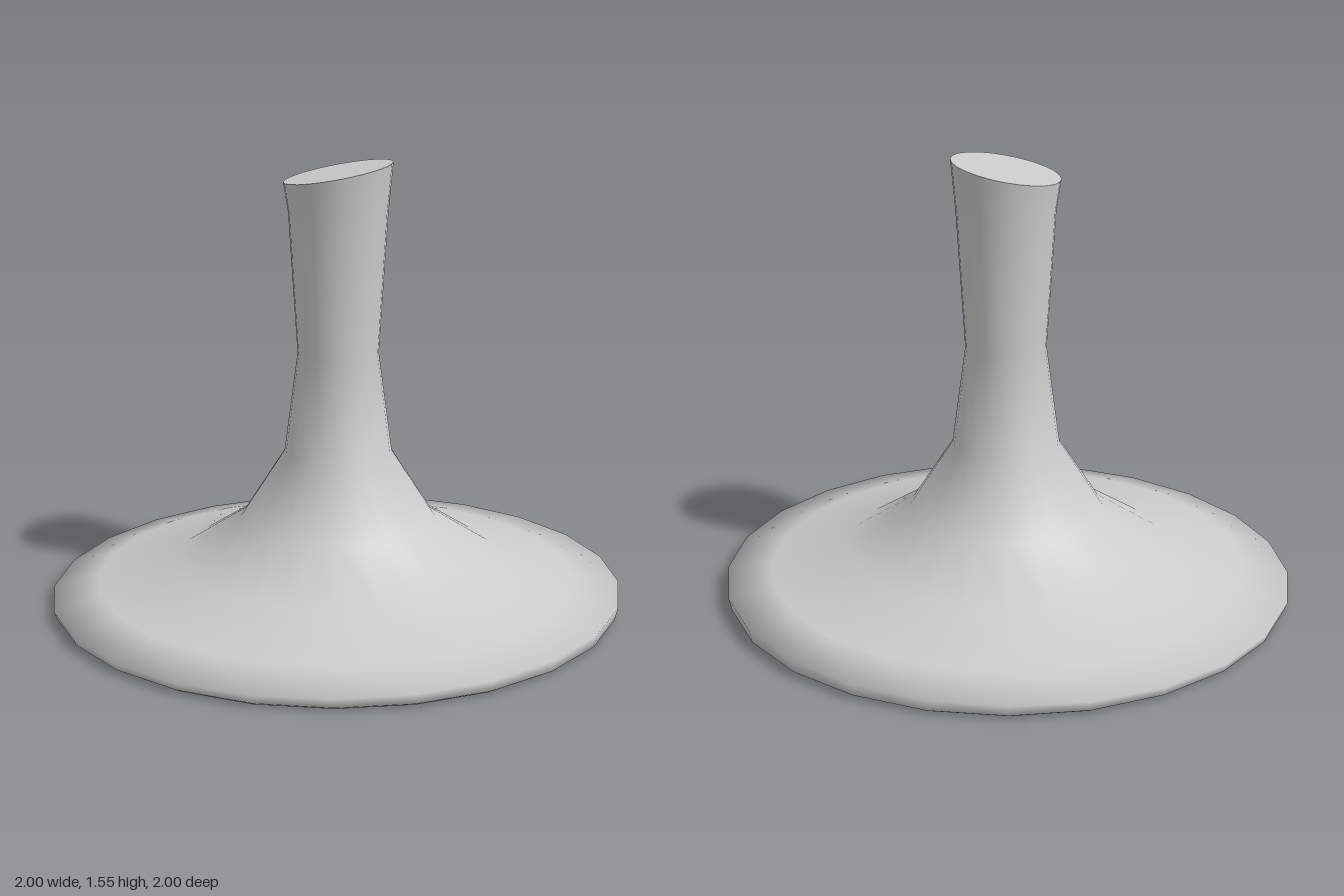
import * as THREE from 'three';

const SIDES = 24;
const TOP = 1.516;
const RIM = 0.047;

// Moves every vertex by a rule
function reshape(geometry, rule) {
  const pos = geometry.attributes.position;
  const v = new THREE.Vector3();
  for (let i = 0; i < pos.count; i++) {
    v.fromBufferAttribute(pos, i);
    rule(v, i);
    pos.setXYZ(i, v.x, v.y, v.z);
  }
  return geometry;
}

// Slanted cut at the top of the stem, stem set slightly off centre
function slant(v) {
  if (v.y > 1.5) v.y += 0.165 * v.x - 0.085 * v.z;
  if (v.y > 0.14) {
    v.x += 0.005;
    v.z -= 0.006;
  }
}

export function createModel() {
  const group = new THREE.Group();
  const material = new THREE.MeshStandardMaterial({ color: 0xcccccc });

  // Dished underside, flared foot and waisted stem in one turned surface
  const profile = [
    [0, 0.125], [0.15, 0.12], [0.3, 0.105], [0.55, 0.061], [0.8, 0.017], [0.93, 0.001],
    [0.97, 0], [0.99, 0.012], [1, RIM],
    [0.84, 0.084], [0.555, 0.16], [0.34, 0.3], [0.187, 0.54],
    [0.14, 0.89], [0.17, 1.38], [0.186, TOP],
  ].map(([r, y]) => new THREE.Vector2(r, y));
  const turned = new THREE.LatheGeometry(profile, SIDES);
  reshape(turned, (v, i) => {
    // Rim tilts a little and its shading rolls outward
    if (Math.hypot(v.x, v.z) > 0.995) {
      turned.attributes.normal.setXYZ(i, 0.95 * v.x, 0.31, 0.95 * v.z);
      v.y += 0.0075 * (v.x - v.z);
    }
    slant(v);
  });
  const body = new THREE.Mesh(turned, material);
  body.name = 'footAndStem';
  group.add(body);

  // Flat disc closing the slanted top
  const disc = new THREE.CircleGeometry(0.186, SIDES).rotateX(-Math.PI / 2).translate(0, TOP, 0);
  reshape(disc, slant).computeVertexNormals();
  const cap = new THREE.Mesh(disc, material);
  cap.name = 'topCap';
  group.add(cap);

  return group;
}
